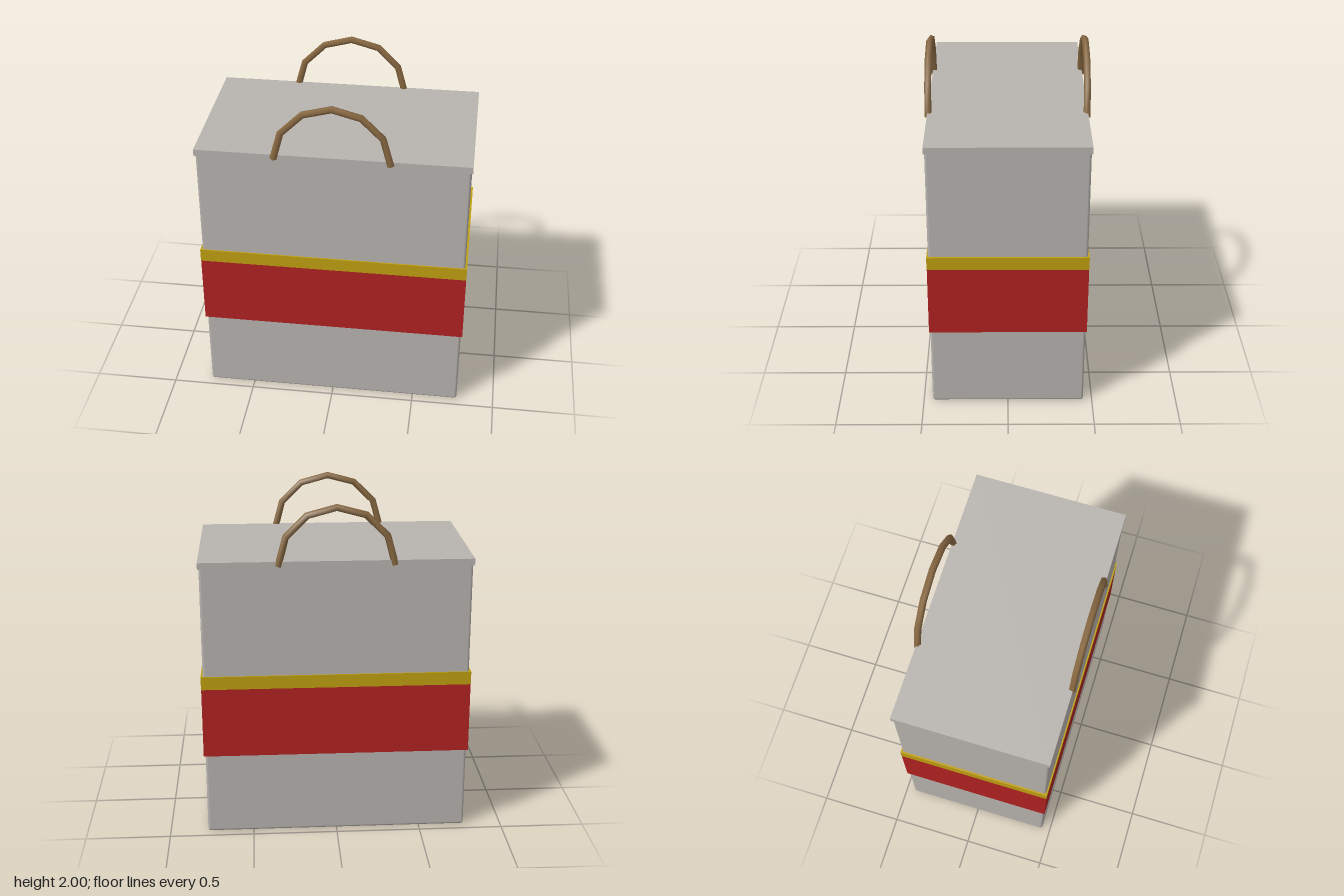
import * as THREE from 'three';
import { RoundedBoxGeometry } from 'three/addons/geometries/RoundedBoxGeometry.js';

function material(name, color, side = THREE.FrontSide) {
  const m = new THREE.MeshStandardMaterial({ color, side });
  m.name = name;
  return m;
}

export function createModel() {
  const model = new THREE.Group();
  model.name = 'carryBox';

  const grey = material('warmGrey', 0xb8b4b0);
  const red = material('red', 0xb22222);
  const yellow = material('mustardYellow', 0xc0a010);
  const brown = material('brown', 0x8b6b43, THREE.DoubleSide);

  const add = (name, geometry, mat, y, z = 0) => {
    const mesh = new THREE.Mesh(geometry, mat);
    mesh.name = name;
    mesh.position.set(0, y, z);
    model.add(mesh);
  };
  // Plain slab wrapped round the body between two heights
  const slab = (name, width, depth, y0, y1, mat) =>
    add(name, new THREE.BoxGeometry(width, y1 - y0, depth), mat, (y0 + y1) / 2);

  // Body with softly rounded edges
  add('body', new RoundedBoxGeometry(1.55, 1.66, 0.896, 2, 0.015), grey, 0.83);

  // Lid and coloured bands stand slightly proud of the body
  slab('lid', 1.565, 0.908, 1.637, 1.677, grey);
  slab('redBand', 1.57, 0.91, 0.497, 0.92, red);
  slab('yellowBand', 1.572, 0.912, 0.918, 0.996, yellow);

  // Half-ring handles: six straight segments, five-sided tube
  const arc = [];
  for (let i = 0; i <= 6; i++) {
    const a = Math.PI * (1 - i / 6);
    arc.push(new THREE.Vector3(0.33 * Math.cos(a), 0.33 * Math.sin(a), 0));
  }
  const handle = new THREE.TubeGeometry(new THREE.CatmullRomCurve3(arc), 6, 0.021, 5);
  add('frontHandle', handle, brown, 1.65, 0.448);
  add('backHandle', handle, brown, 1.65, -0.45);

  return model;
}
